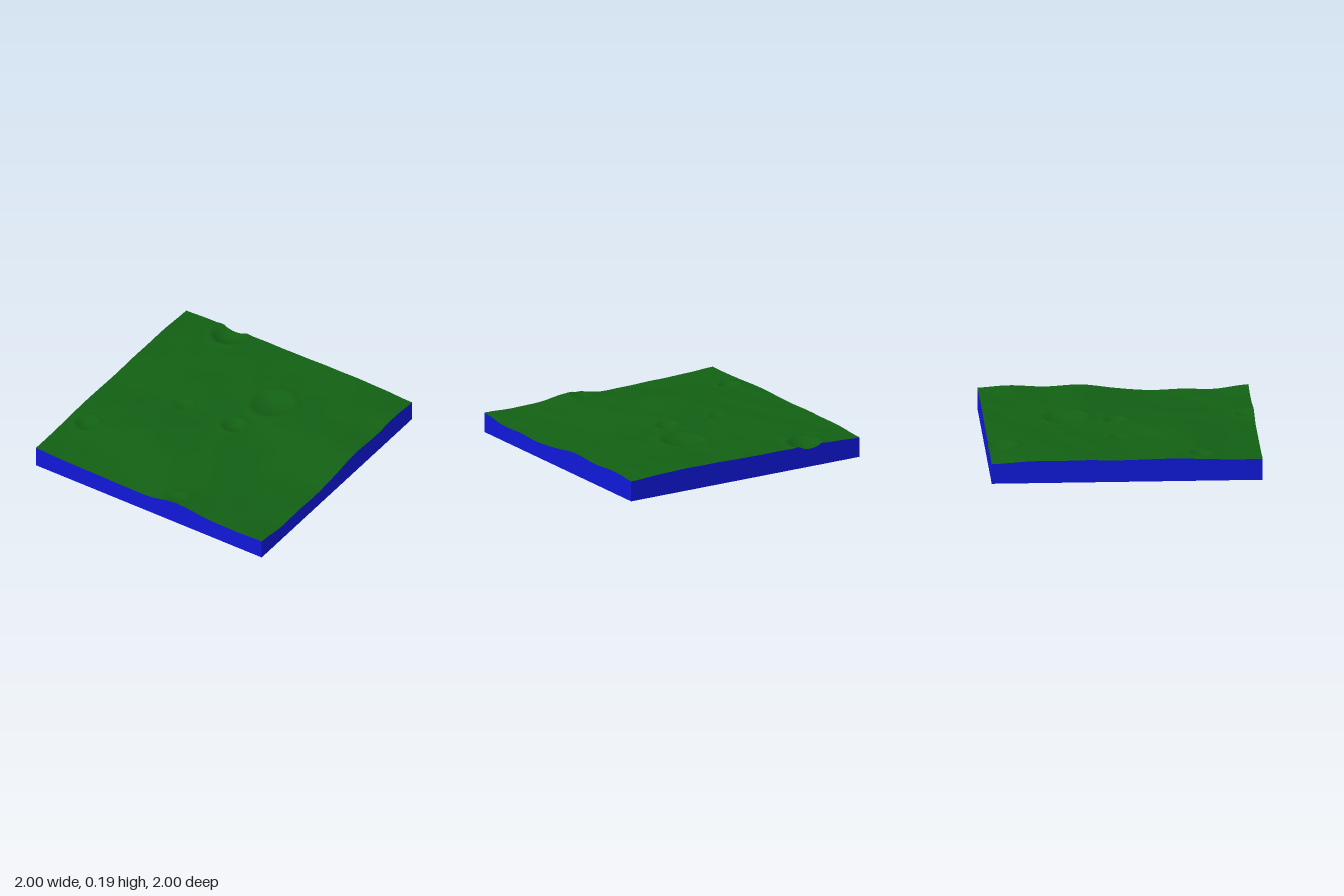
import * as THREE from 'three';

const SEG = 120;

// Broad relief: heights every 0.25 units, rows from back to front, columns left to right.
const RELIEF = [
  [.150, .160, .160, .165, .165, .170, .172, .165, .155],
  [.165, .168, .172, .170, .165, .165, .170, .170, .170],
  [.168, .170, .170, .165, .165, .170, .170, .165, .155],
  [.170, .168, .170, .166, .165, .174, .175, .170, .168],
  [.165, .165, .165, .165, .174, .160, .155, .150, .141],
  [.172, .174, .178, .182, .175, .163, .140, .127, .117],
  [.170, .174, .180, .188, .170, .165, .137, .127, .123],
  [.160, .155, .150, .155, .160, .157, .146, .132, .121],
  [.160, .150, .146, .140, .142, .178, .152, .143, .150],
];

// Small craters: x, z, radius, depth.
const CRATERS = [
  [-0.57, -0.92, 0.13, 0.042],
  [0.16, -0.40, 0.165, 0.034],
  [0.06, -0.03, 0.09, 0.026],
  [-0.38, -0.03, 0.07, 0.012],
  [-0.85, 0.55, 0.085, 0.028],
  [0.20, 0.93, 0.08, 0.018],
];

function cubic(p, t) {
  const i = Math.min(Math.floor(t), p.length - 2);
  const f = t - i;
  const b = p[i], c = p[i + 1];
  const a = p[i - 1] ?? b, d = p[i + 2] ?? c;
  return b + 0.5 * f * (c - a + f * (2 * a - 5 * b + 4 * c - d + f * (3 * (b - c) + d - a)));
}

function height(x, z) {
  let y = cubic(RELIEF.map((row) => cubic(row, (x + 1) * 4)), (z + 1) * 4);
  // Gentle ripples
  y += 0.0015 * Math.sin(17 * x + 5 * z) * Math.sin(13 * z - 6 * x + 1);
  // Bowls with a low raised rim
  for (const [cx, cz, r, depth] of CRATERS) {
    const d = Math.hypot(x - cx, z - cz) / r;
    if (d < 1) y -= depth * (1 - d * d) ** 1.2;
    y += depth * 0.16 * Math.exp(-(((d - 1.05) / 0.2) ** 2));
  }
  return y;
}

// Upright wall following the terrain edge between two corners.
function wallGeometry([x0, z0], [x1, z1]) {
  const geo = new THREE.PlaneGeometry(2, 1, SEG, 1);
  const pos = geo.attributes.position;
  for (let i = 0; i < pos.count; i++) {
    const t = (pos.getX(i) + 1) / 2;
    const x = x0 + (x1 - x0) * t;
    const z = z0 + (z1 - z0) * t;
    pos.setXYZ(i, x, pos.getY(i) > 0 ? height(x, z) : 0, z);
  }
  geo.computeVertexNormals();
  return geo;
}

export function createModel() {
  const group = new THREE.Group();
  group.name = 'terrainTile';
  const green = new THREE.MeshStandardMaterial({ color: 0x126014 });
  const blue = new THREE.MeshStandardMaterial({ color: 0x1018d8 });
  const add = (name, geo, mat) => {
    const mesh = new THREE.Mesh(geo, mat);
    mesh.name = name;
    group.add(mesh);
  };

  // Cratered ground
  const ground = new THREE.PlaneGeometry(2, 2, SEG, SEG).rotateX(-Math.PI / 2);
  const pos = ground.attributes.position;
  for (let i = 0; i < pos.count; i++) pos.setY(i, height(pos.getX(i), pos.getZ(i)));
  ground.computeVertexNormals();
  add('ground', ground, green);

  // Walls around the block
  const corners = [[-1, 1], [1, 1], [1, -1], [-1, -1]];
  ['frontWall', 'leftWall', 'backWall', 'rightWall'].forEach((name, i) =>
    add(name, wallGeometry(corners[i], corners[(i + 1) % 4]), blue));

  // Flat underside
  add('underside', new THREE.PlaneGeometry(2, 2).rotateX(Math.PI / 2), blue);
  return group;
}
